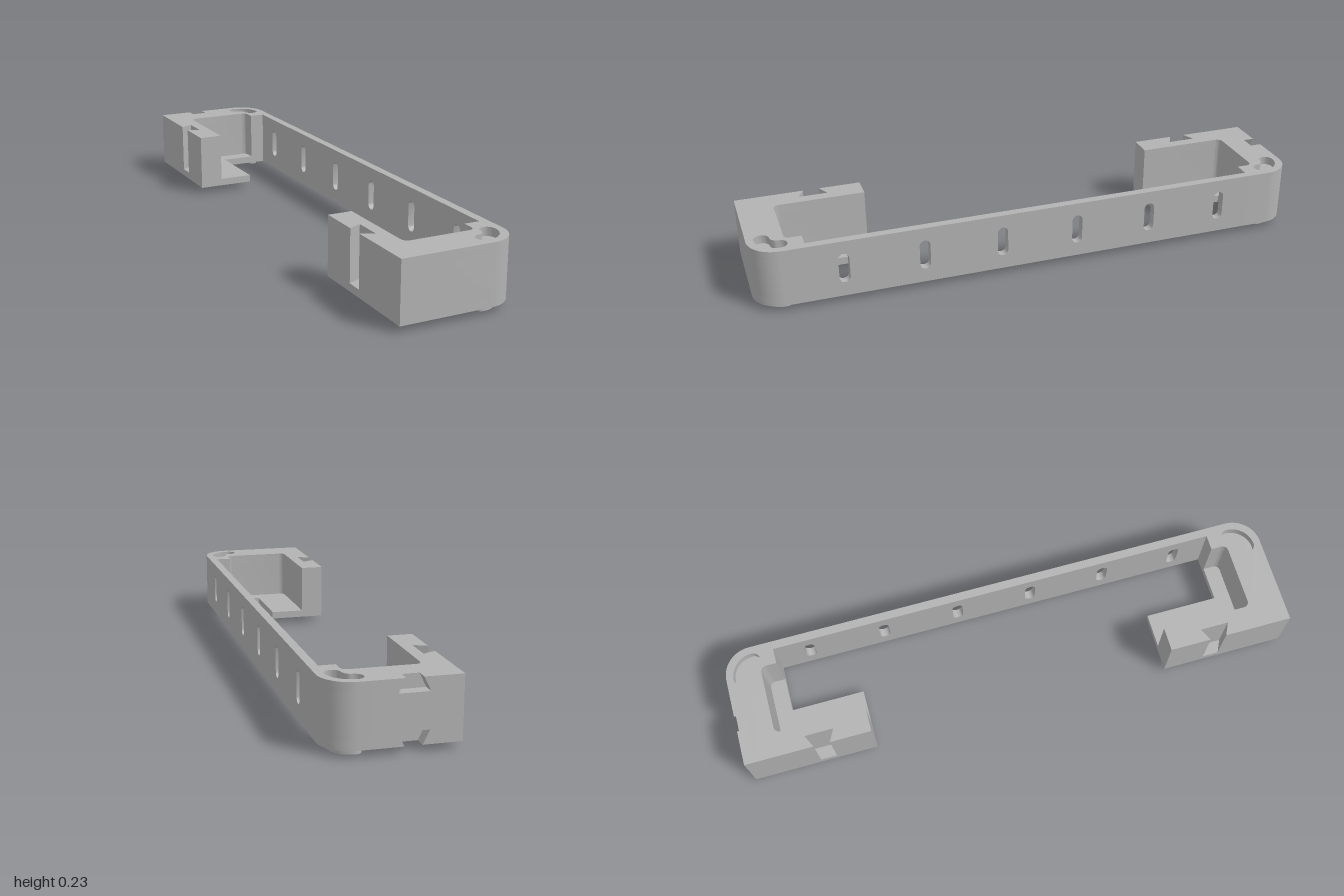
import * as THREE from 'three';
import { toCreasedNormals } from 'three/addons/utils/BufferGeometryUtils.js';

const BOTTOM = 0.023, FLOOR = 0.05, RECESS = 0.2, TOP = 0.23;

// points along an arc, angles in degrees
function arc(cx, cz, r, from, to, n = 10) {
  return Array.from({ length: n + 1 }, (_, i) => {
    const a = THREE.MathUtils.degToRad(from + (to - from) * i / n);
    return [cx + r * Math.cos(a), cz + r * Math.sin(a)];
  });
}

// curved slot that follows the rounded corner
function kidney(half) {
  const cx = 0.105, cz = 0.895, r = 0.053;
  return [
    ...arc(cx, cz, r + half, 0, 90),
    ...arc(cx, cz + r, half, 90, 270),
    ...arc(cx, cz, r - half, 90, 0),
    ...arc(cx + r, cz, half, -180, 0),
  ];
}

// side = 1 for the front end, -1 for the back end
const toVectors = (pts, side = 1) => pts.map(([x, z]) => new THREE.Vector2(x, z * side));

function extrude(shape, depth) {
  const g = new THREE.ExtrudeGeometry(shape, { depth, bevelEnabled: false, curveSegments: 10 });
  return toCreasedNormals(g, 0.6);
}

export function createModel() {
  const group = new THREE.Group();
  const grey = new THREE.MeshStandardMaterial({ color: 0xb2b2b2 });
  grey.name = 'grey plastic';

  const add = (name, geometry, parent = group) => {
    const mesh = new THREE.Mesh(geometry, grey);
    mesh.name = name;
    parent.add(mesh);
  };

  // horizontal layer between two heights
  const layer = (name, parent, side, pts, y0, y1, hole) => {
    const shape = new THREE.Shape(toVectors(pts, side));
    if (hole) shape.holes.push(new THREE.Path(toVectors(hole, side)));
    add(name, extrude(shape, y1 - y0).rotateX(Math.PI / 2).translate(0, y1, 0), parent);
  };

  for (const side of [1, -1]) {
    const end = new THREE.Group();
    end.name = side > 0 ? 'frontEnd' : 'backEnd';
    group.add(end);

    // the back end leaves room for the notched plate
    const outerCorner = side > 0 ? [[-0.21, 1]] : [[-0.21, 0.96], [0.05, 0.96], [0.05, 1]];
    const outer = [...outerCorner, ...arc(0.11, 0.9, 0.1, 90, 0, 14), [0.21, 0.817]];
    const dovetail = [[-0.21, 0.698], [-0.165, 0.676], [-0.165, 0.778], [-0.21, 0.756]];
    const pocket = [
      [0.125, 0.817], ...arc(0.105, 0.855, 0.02, 0, 90, 6),
      ...arc(-0.105, 0.855, 0.02, 90, 180, 6), [-0.125, 0.55],
    ];

    const floor = [[-0.21, 0.55], ...outer, [0, 0.817], [0, 0.55]];
    const walls = [[-0.21, 0.55], ...dovetail, ...outer, ...pocket];
    layer('pocketFloor', end, side, floor, BOTTOM, FLOOR);
    layer('pocketWalls', end, side, walls, FLOOR, RECESS);
    layer('pocketRim', end, side, walls, RECESS, TOP, kidney(0.026));
    layer('foot', end, side, kidney(0.02), 0, BOTTOM);
  }

  // plate on the back face with a dovetail notch above and below
  const notched = [
    [-0.21, BOTTOM], [-0.085, BOTTOM], [-0.107, BOTTOM + 0.045], [-0.008, BOTTOM + 0.045],
    [-0.03, BOTTOM], [0.05, BOTTOM], [0.05, TOP], [-0.03, TOP], [-0.008, TOP - 0.045],
    [-0.107, TOP - 0.045], [-0.085, TOP], [-0.21, TOP],
  ];
  add('notchedPlate', extrude(new THREE.Shape(toVectors(notched)), 0.04).translate(0, 0, -1));

  // long side wall with upright slots
  const wall = new THREE.Shape(toVectors([[-0.817, BOTTOM], [0.817, BOTTOM], [0.817, TOP], [-0.817, TOP]]));
  for (const z of [-0.697, -0.418, -0.139, 0.139, 0.418, 0.697]) {
    const slot = [...arc(z, 0.164, 0.019, 0, 180), ...arc(z, 0.093, 0.019, 180, 360)];
    wall.holes.push(new THREE.Path(toVectors(slot)));
  }
  add('sideWall', extrude(wall, 0.03).rotateY(Math.PI / 2).translate(0.18, 0, 0));

  return group;
}
